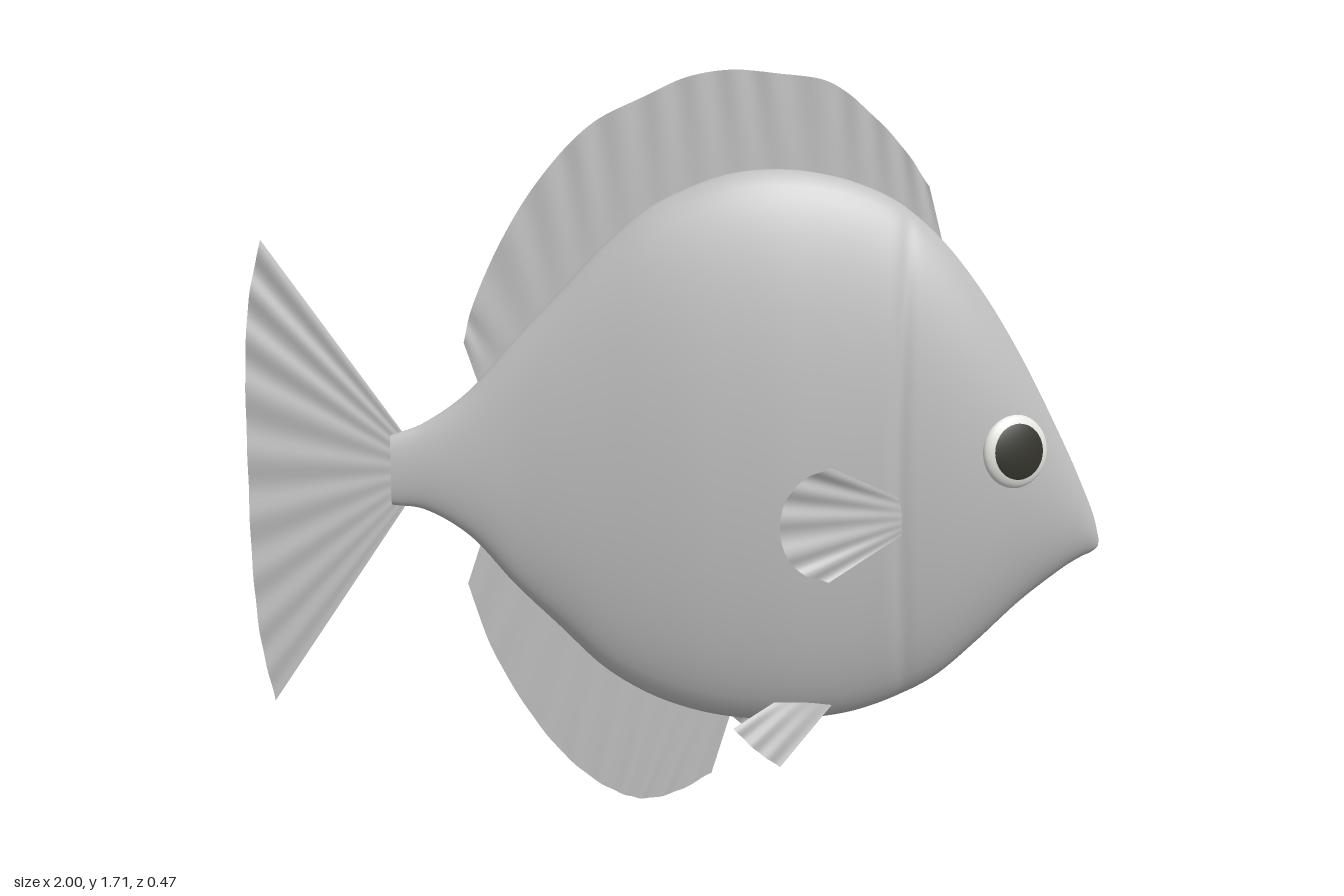
import * as THREE from 'three';

const skin = new THREE.MeshStandardMaterial({ name: 'skin grey', color: 0xc0c0c0, side: THREE.DoubleSide });
const eyeWhite = new THREE.MeshStandardMaterial({ name: 'eye white', color: 0xe8e8e4 });
const pupilDark = new THREE.MeshStandardMaterial({ name: 'pupil dark', color: 0x34342c });

// Body stations: x, top y, bottom y, half width
const STATIONS = [
  [-0.68, 0.89, 0.73, 0.02], [-0.6, 0.92, 0.715, 0.026], [-0.5, 0.99, 0.65, 0.036],
  [-0.4, 1.1, 0.535, 0.05], [-0.3, 1.205, 0.435, 0.07], [-0.2, 1.31, 0.335, 0.09],
  [-0.1, 1.395, 0.268, 0.11], [0, 1.447, 0.225, 0.126], [0.1, 1.48, 0.2, 0.135],
  [0.2, 1.49, 0.19, 0.14], [0.3, 1.482, 0.19, 0.138], [0.4, 1.457, 0.203, 0.135],
  [0.5, 1.41, 0.235, 0.133], [0.6, 1.325, 0.285, 0.131], [0.7, 1.2, 0.368, 0.121],
  [0.8, 1.04, 0.46, 0.101], [0.9, 0.85, 0.535, 0.066], [0.95, 0.745, 0.565, 0.043],
  [0.98, 0.675, 0.578, 0.025], [0.996, 0.62, 0.59, 0.008],
];

// Grid surface from a list of rows of points; wrap closes each row into a ring
function surface(rows, wrap) {
  const n = rows[0].length, index = [];
  for (let i = 0; i < rows.length - 1; i++) {
    for (let j = 0; j < (wrap ? n : n - 1); j++) {
      const k = (j + 1) % n, a = i * n + j, b = i * n + k;
      index.push(a, b, a + n, b, b + n, a + n);
    }
  }
  const geometry = new THREE.BufferGeometry().setFromPoints(rows.flat());
  geometry.setIndex(index);
  geometry.computeVertexNormals();
  return geometry;
}

function mesh(name, geometry, material) {
  const m = new THREE.Mesh(geometry, material);
  m.name = name;
  return m;
}

// Elliptical sections lofted along x, with a shallow groove at the gill cover
function bodyGeometry() {
  const outline = new THREE.CatmullRomCurve3(
    STATIONS.map(([x, t, b]) => new THREE.Vector3(x, t, b)), false, 'catmullrom');
  const widths = new THREE.CatmullRomCurve3(
    STATIONS.map(([x, , , w]) => new THREE.Vector3(x, w, 0)), false, 'catmullrom');
  const rows = [], rings = 190, sides = 56;
  for (let i = 0; i <= rings; i++) {
    const { x, y: top, z: bottom } = outline.getPoint(i / rings);
    const w = widths.getPoint(i / rings).y;
    const row = [];
    for (let j = 0; j < sides; j++) {
      const a = (j / sides) * Math.PI * 2;
      const y = (top + bottom) / 2 + ((top - bottom) / 2) * Math.cos(a);
      const gill = 0.475 + 0.12 * (y - 0.85) ** 2;
      const groove = 1 - 0.05 * Math.exp(-(((x - gill) / 0.018) ** 2));
      row.push(new THREE.Vector3(x, y, w * Math.sin(a) * groove));
    }
    rows.push(row);
  }
  rows.push(rows[0].map(() => new THREE.Vector3(1, 0.605, 0)));
  return surface(rows, true);
}

// Thin fin spanning a root curve and an outer edge, rippled by its rays
function fin(name, root, edge, rays, ripple, side = 1) {
  const curve = pts => new THREE.CatmullRomCurve3(
    pts.map(([x, y, z = 0]) => new THREE.Vector3(x, y, z * side)));
  const a = curve(root), b = curve(edge), rows = [], across = 6, along = 96;
  for (let i = 0; i <= across; i++) {
    const v = i / across, row = [];
    for (let j = 0; j <= along; j++) {
      const u = j / along;
      const p = a.getPoint(u).lerp(b.getPoint(u), v);
      p.z += side * ripple * Math.sin(u * rays * Math.PI * 2) * v;
      row.push(p);
    }
    rows.push(row);
  }
  return mesh(name, surface(rows, false), skin);
}

// Flattened eyeball: the front cap is the pupil, the rest is the white
function eye(name, side) {
  const group = new THREE.Group();
  group.name = name;
  const split = 0.86;
  const part = (start, length) => new THREE.SphereGeometry(0.086, 40, 20, 0, Math.PI * 2, start, length)
    .rotateX(Math.PI / 2).scale(1, 1, 0.3);
  group.add(
    mesh('pupil', part(0, split), pupilDark),
    mesh('eyeWhite', part(split, Math.PI - split), eyeWhite));
  group.position.set(0.755, 0.843, 0.102 * side);
  group.quaternion.setFromUnitVectors(
    new THREE.Vector3(0, 0, 1), new THREE.Vector3(0.3, 0.08, side).normalize());
  return group;
}

export function createModel() {
  const fish = new THREE.Group();
  fish.name = 'fish';

  fish.add(mesh('body', bodyGeometry(), skin));
  const cap = mesh('tailStump', new THREE.CircleGeometry(1, 56).scale(0.02, 0.08, 1), skin);
  cap.rotation.y = -Math.PI / 2;
  cap.position.set(-0.68, 0.81, 0);
  fish.add(cap);

  // Fins on the centre line
  fish.add(fin('dorsalFin',
    [[-0.47, 0.98], [-0.3, 1.15], [-0.1, 1.34], [0.15, 1.43], [0.4, 1.4], [0.61, 1.28]],
    [[-0.51, 1.1], [-0.49, 1.18], [-0.4, 1.37], [-0.3, 1.51], [-0.21, 1.595], [-0.1, 1.65], [0, 1.695],
      [0.1, 1.712], [0.2, 1.705], [0.33, 1.685], [0.42, 1.62], [0.5, 1.54], [0.565, 1.45]],
    14, 0.003));
  fish.add(fin('analFin',
    [[-0.47, 0.66], [-0.3, 0.48], [-0.15, 0.33], [0, 0.26], [0.11, 0.22]],
    [[-0.51, 0.54], [-0.46, 0.39], [-0.38, 0.24], [-0.3, 0.13], [-0.22, 0.055], [-0.15, 0.015],
      [-0.1, 0.003], [-0.03, 0.015], [0.06, 0.06]],
    10, 0.003));
  fish.add(fin('tailFin',
    [[-0.64, 0.88], [-0.64, 0.81], [-0.64, 0.74]],
    [[-0.955, 1.335], [-0.985, 1.2], [-0.998, 1.03], [-1, 0.81], [-0.998, 0.6], [-0.985, 0.42], [-0.957, 0.275]],
    9, 0.004));

  // Paired fins and eyes on the two flanks
  for (const side of [1, -1]) {
    const flank = side > 0 ? 'front' : 'back';
    fish.add(fin(flank + 'PectoralFin',
      [[0.485, 0.74, 0.122], [0.485, 0.695, 0.125], [0.485, 0.655, 0.122]],
      [[0.3, 0.83, 0.205], [0.235, 0.805, 0.22], [0.195, 0.76, 0.229], [0.182, 0.7, 0.232],
        [0.2, 0.63, 0.229], [0.24, 0.59, 0.218], [0.3, 0.566, 0.2]],
      5, 0.004, side));
    fish.add(fin(flank + 'PelvicFin',
      [[0.2, 0.247, 0.06], [0.27, 0.245, 0.06], [0.34, 0.235, 0.055]],
      [[0.1, 0.195, 0.085], [0.15, 0.145, 0.093], [0.21, 0.1, 0.095]],
      3, 0.003, side));
    fish.add(eye(flank + 'Eye', side));
  }
  return fish;
}
